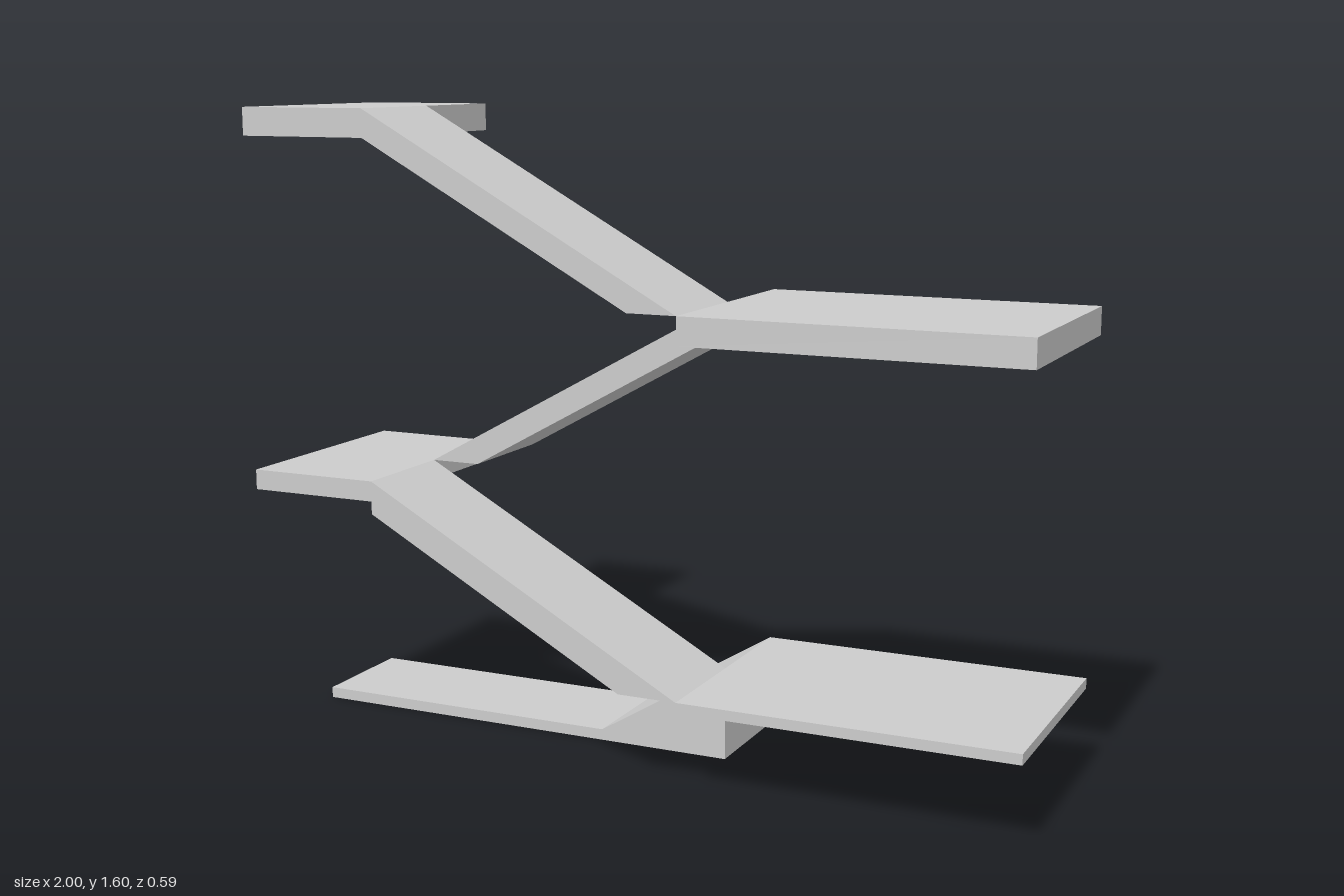
import * as THREE from 'three';

const material = new THREE.MeshStandardMaterial({ color: 0xcccccc, flatShading: true });

// Side outline in x and y, extruded from z0 to z1
function slab(name, points, z0, z1) {
  const shape = new THREE.Shape(points.map(([x, y]) => new THREE.Vector2(x, y)));
  const geometry = new THREE.ExtrudeGeometry(shape, { depth: z1 - z0, bevelEnabled: false });
  geometry.translate(0, 0, z0);
  const mesh = new THREE.Mesh(geometry, material);
  mesh.name = name;
  return mesh;
}

// Flat platform across the full depth
function landing(name, x0, x1, y0, y1) {
  const mesh = new THREE.Mesh(new THREE.BoxGeometry(x1 - x0, y1 - y0, 0.594), material);
  mesh.position.set((x0 + x1) / 2, (y0 + y1) / 2, 0);
  mesh.name = name;
  return mesh;
}

export function createModel() {
  const model = new THREE.Group();
  model.name = 'switchbackRamp';
  const L = -0.655, R = 0.172, D = 0.297; // turning points and half depth

  // Landings, bottom to top
  model.add(
    landing('lowerRightLanding', R, 1, 0.21, 0.236),
    landing('middleLeftLanding', -1, L, 0.64, 0.691),
    landing('upperRightLanding', R, 1, 1.077, 1.146),
    landing('topLeftLanding', -1, L, 1.53, 1.6),
  );

  // Entry ramp at the back, solid down to the ground
  model.add(slab('entryRamp',
    [[-0.995, 0], [R, 0], [R, 0.236], [-0.17, 0.028], [-0.995, 0.028]], -D, 0));

  // Sloping flights, alternating front and back
  model.add(
    slab('lowerFlight', [[L, 0.691], [L, 0.608], [0.022, 0.236], [R, 0.236]], 0, D),
    slab('middleFlight', [[L, 0.691], [-0.525, 0.691], [R, 1.077], [R, 1.146]], -D, 0),
    slab('upperFlight', [[L, 1.6], [L, 1.53], [0.047, 1.146], [R, 1.146]], 0, D),
  );
  return model;
}
